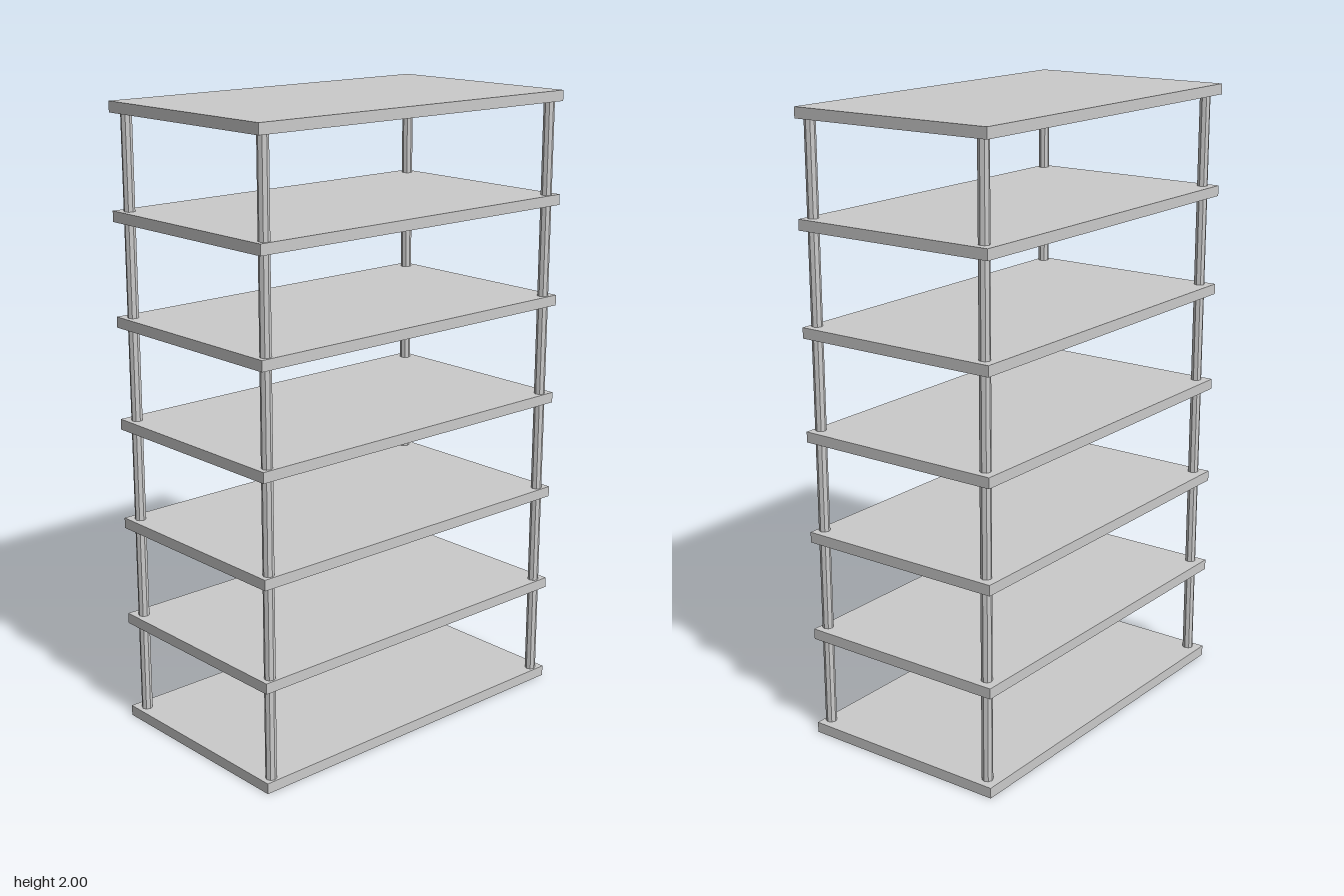
import * as THREE from 'three';

const WIDTH = 0.70, DEPTH = 1.23, HEIGHT = 2, THICK = 0.034, SHELVES = 7;

export function createModel() {
  const group = new THREE.Group();
  const material = new THREE.MeshStandardMaterial({ color: 0xcccccc, flatShading: true });

  // evenly spaced flat shelves
  const shelfGeometry = new THREE.BoxGeometry(WIDTH, THICK, DEPTH);
  const step = (HEIGHT - THICK) / (SHELVES - 1);
  for (let i = 0; i < SHELVES; i++) {
    const shelf = new THREE.Mesh(shelfGeometry, material);
    shelf.name = `shelf${i + 1}`;
    shelf.position.y = THICK / 2 + i * step;
    group.add(shelf);
  }

  // slim faceted corner posts, set slightly off centre
  const postGeometry = new THREE.CylinderGeometry(0.0175, 0.0175, HEIGHT - THICK, 8);
  for (const [side, x] of [['Right', -0.308], ['Left', 0.327]]) {
    for (const [end, z] of [['front', 0.583], ['back', -0.576]]) {
      const post = new THREE.Mesh(postGeometry, material);
      post.name = `${end}${side}Post`;
      post.position.set(x, HEIGHT / 2, z);
      group.add(post);
    }
  }
  return group;
}
